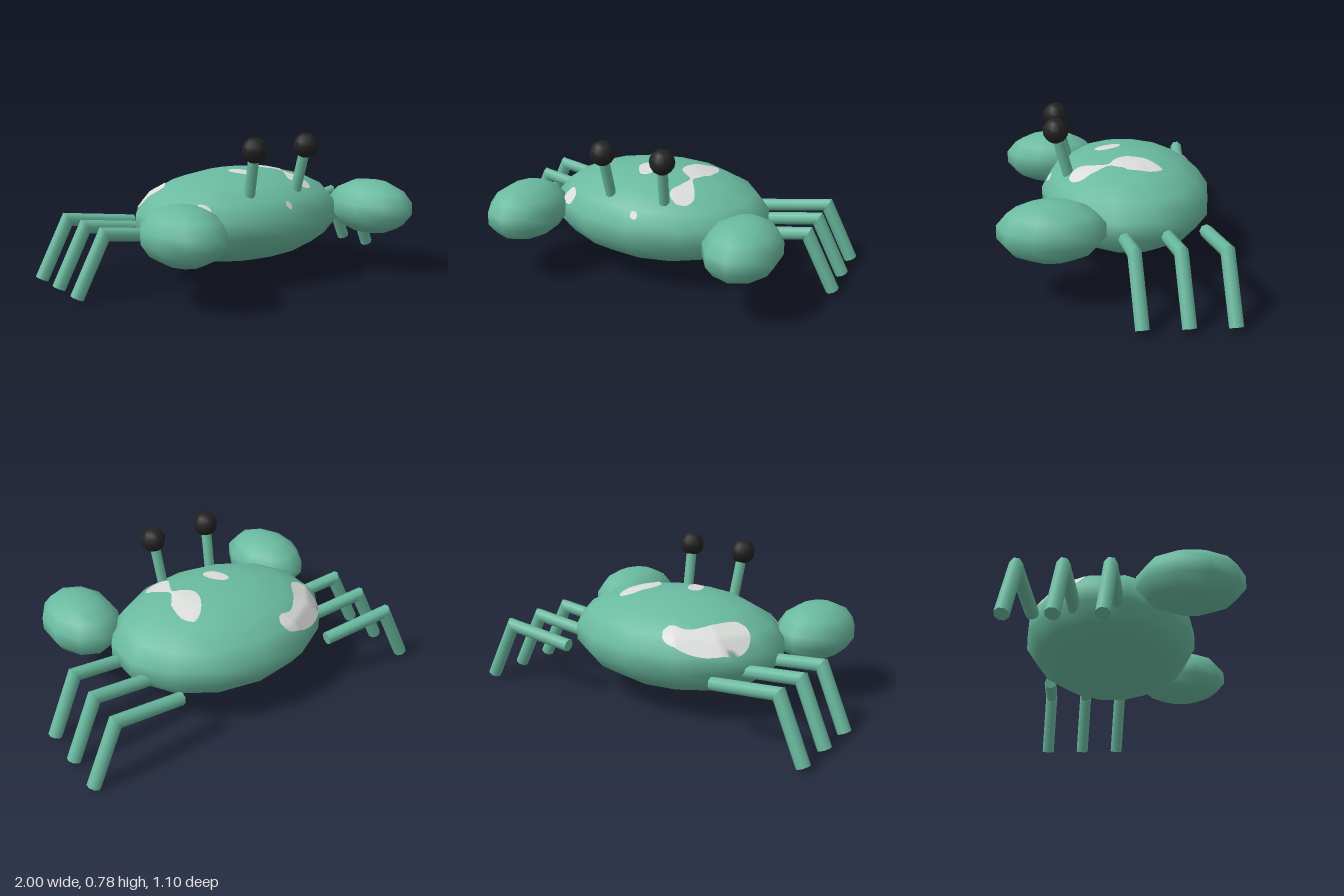
import * as THREE from 'three';

const shell = new THREE.MeshStandardMaterial({ name: 'sea green shell', color: 0x6abaa0 });
const pale = new THREE.MeshStandardMaterial({ name: 'pale grey spots', color: 0xdadcda });
const black = new THREE.MeshStandardMaterial({ name: 'eye black', color: 0x222222 });
const V = (x, y, z) => new THREE.Vector3(x, y, z);

function add(parent, name, geometry, material) {
  const mesh = new THREE.Mesh(geometry, material);
  mesh.name = name;
  parent.add(mesh);
  return mesh;
}

// Low-sided ellipsoid with a column of corners on the z axis
function ellipsoid(center, radii, w, h) {
  return new THREE.SphereGeometry(1, w, h).rotateY(Math.PI / 2)
    .scale(radii.x, radii.y, radii.z).translate(center.x, center.y, center.z);
}

// Rod from a to b
function rod(a, b, r, sides = 8) {
  const d = b.clone().sub(a);
  const mid = a.clone().add(b).multiplyScalar(0.5);
  const q = new THREE.Quaternion().setFromUnitVectors(V(0, 1, 0), d.clone().normalize());
  return new THREE.CylinderGeometry(r, r, d.length(), sides)
    .applyQuaternion(q).translate(mid.x, mid.y, mid.z);
}

// Slide the end of a rod along its axis onto the mitre plane of a joint
function mitre(geometry, joint, axis, normal) {
  const p = geometry.attributes.position, v = V(0, 0, 0);
  for (let i = 0; i < p.count; i++) {
    v.fromBufferAttribute(p, i);
    if (v.distanceTo(joint) > 0.08) continue;
    v.addScaledVector(axis, joint.clone().sub(v).dot(normal) / axis.dot(normal));
    p.setXYZ(i, v.x, v.y, v.z);
  }
  return geometry;
}

// Thin spot laid on the shell: spine points are [x, z, halfWidth]
function spot(body, spine) {
  const curve = new THREE.CatmullRomCurve3(spine.map(([x, z, w]) => V(x, w, z)));
  const N = 32, M = 10, pos = [], idx = [];
  const ray = new THREE.Raycaster();
  for (let i = 0; i <= N; i++) {
    const t = i / N, c = curve.getPoint(t), d = curve.getTangent(t).setY(0).normalize();
    const half = Math.max(c.y, 0.003) * Math.sqrt(Math.max(0, 1 - Math.abs(2 * t - 1) ** 8));
    for (let j = 0; j <= M; j++) {
      const k = half * (2 * j / M - 1);
      ray.set(V(c.x + d.z * k, 2, c.z - d.x * k), V(0, -1, 0));
      const hit = ray.intersectObject(body)[0];
      const p = hit ? hit.point.addScaledVector(hit.face.normal, 0.004) : V(c.x, 0.33, c.z);
      pos.push(p.x, p.y, p.z);
      if (i < N && j < M) {
        const a = i * (M + 1) + j, b = a + M + 1;
        idx.push(a, b, a + 1, a + 1, b, b + 1);
      }
    }
  }
  const g = new THREE.BufferGeometry();
  g.setAttribute('position', new THREE.Float32BufferAttribute(pos, 3));
  g.setIndex(idx);
  g.computeVertexNormals();
  return g;
}

export function createModel() {
  const crab = new THREE.Group();
  crab.name = 'crab';

  const body = add(crab, 'body', ellipsoid(V(0, 0.323, -0.098), V(0.602, 0.246, 0.45), 14, 9), shell);
  body.updateMatrixWorld();

  // Irregular spots on the upper shell
  const spots = {
    rearRightSpot: [[-0.46, -0.18, 0.06], [-0.435, -0.28, 0.075], [-0.36, -0.365, 0.06],
      [-0.26, -0.425, 0.042], [-0.15, -0.435, 0.045]],
    leftHourglassSpot: [[0.25, -0.265, 0.03], [0.235, -0.2, 0.06], [0.2, -0.09, 0.073],
      [0.205, -0.04, 0.045], [0.215, 0.005, 0.008], [0.22, 0.07, 0.035],
      [0.22, 0.14, 0.065], [0.215, 0.205, 0.055]],
    middleSpot: [[-0.08, -0.075, 0.02], [-0.06, -0.035, 0.038], [-0.035, 0.02, 0.038], [-0.018, 0.06, 0.025]],
    frontRightSpot: [[-0.46, 0.145, 0.02], [-0.42, 0.165, 0.028], [-0.375, 0.2, 0.02]],
    frontSpot: [[0.007, 0.303, 0.008], [0.025, 0.303, 0.012], [0.043, 0.302, 0.008]],
  };
  for (const [name, spine] of Object.entries(spots)) add(crab, name, spot(body, spine), pale);

  for (const [side, s] of [['left', 1], ['right', -1]]) {
    add(crab, side + 'Claw', ellipsoid(V(0.602 * s, 0.352, 0.297), V(0.195, 0.147, 0.264), 10, 7), shell);

    // Stalked eyes
    const eye = V(0.164 * s, 0.715, 0.268);
    add(crab, side + 'EyeStalk', rod(V(0.15 * s, 0.475, 0.206), eye, 0.028), shell);
    add(crab, side + 'Eye', ellipsoid(eye, V(0.065, 0.065, 0.065), 10, 8), black);

    // Three bent legs
    ['front', 'middle', 'rear'].forEach((row, i) => {
      const z = -0.21 * i;
      const hip = V(0.45 * s, 0.27, -0.04 + z);
      const knee = V(0.822 * s, 0.32, -0.071 + z);
      const foot = V(0.968 * s, 0.016, -0.095 + z);
      const d1 = knee.clone().sub(hip).normalize(), d2 = foot.clone().sub(knee).normalize();
      const n = d1.clone().add(d2).normalize();
      const leg = new THREE.Group();
      leg.name = side + row[0].toUpperCase() + row.slice(1) + 'Leg';
      crab.add(leg);
      add(leg, 'upperLeg', mitre(rod(hip, knee, 0.034), knee, d1, n), shell);
      add(leg, 'lowerLeg', mitre(rod(knee, foot, 0.035), knee, d2, n), shell);
    });
  }
  return crab;
}
